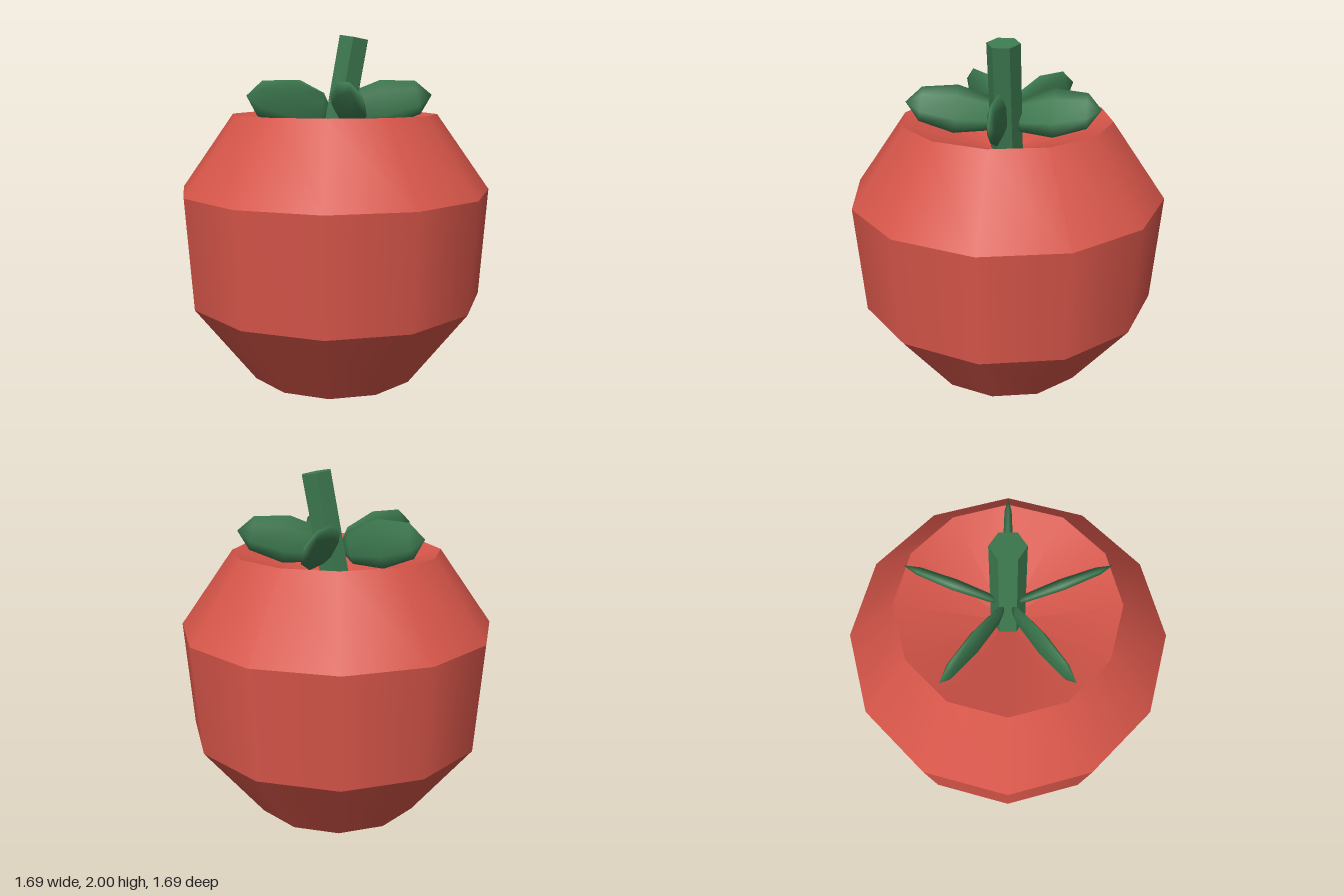
import * as THREE from 'three';
import { toCreasedNormals } from 'three/addons/utils/BufferGeometryUtils.js';

export function createModel() {
  const model = new THREE.Group();
  model.name = 'tomato';

  const red = new THREE.MeshStandardMaterial({ color: 0xd65549 });
  red.name = 'tomato red';
  const green = new THREE.MeshStandardMaterial({ color: 0x3d7a50 });
  green.name = 'leaf green';

  const add = (parent, name, geometry, material) => {
    const mesh = new THREE.Mesh(geometry, material);
    mesh.name = name;
    parent.add(mesh);
    return mesh;
  };

  // Fruit: twelve-sided bands, smooth around and sharp where they meet;
  // the last band is the hollow around the stem.
  const profile = [
    [0, 0], [0.48, 0.15], [0.81, 0.59], [0.845, 1.18], [0.555, 1.585], [0, 1.39],
  ].map(([r, y]) => new THREE.Vector2(r, y));
  const bands = ['bottomTip', 'lowerBand', 'middleBand', 'shoulder', 'stemHollow'];
  const fruit = new THREE.Group();
  fruit.name = 'fruit';
  bands.forEach((name, i) => {
    add(fruit, name, new THREE.LatheGeometry([profile[i], profile[i + 1]], 12), red);
  });
  model.add(fruit);

  // Stem: leaning hexagonal rod
  const stemLength = 0.604;
  const stemGeometry = new THREE.CylinderGeometry(0.086, 0.086, stemLength, 6)
    .translate(0, stemLength / 2, 0)
    .rotateZ(-0.175);
  add(model, 'stem', toCreasedNormals(stemGeometry, 0.5), green).position.y = 1.39;

  // Leaves: five thin upright blades around the stem, the side pair leaning over
  const leaves = new THREE.Group();
  leaves.name = 'leaves';
  const leans = [0, 0.45, 0, 0, -0.45];
  leans.forEach((lean, i) => {
    const blade = new THREE.SphereGeometry(1, 6, 4)
      .rotateZ(-Math.PI / 2)
      .scale(0.26, 0.127, 0.028)
      .rotateX(lean)
      .rotateZ(0.18)
      .translate(0.268, 1.64, 0)
      .rotateY((-i * Math.PI * 2) / 5);
    add(leaves, `leaf${i + 1}`, blade, green);
  });
  model.add(leaves);

  return model;
}
